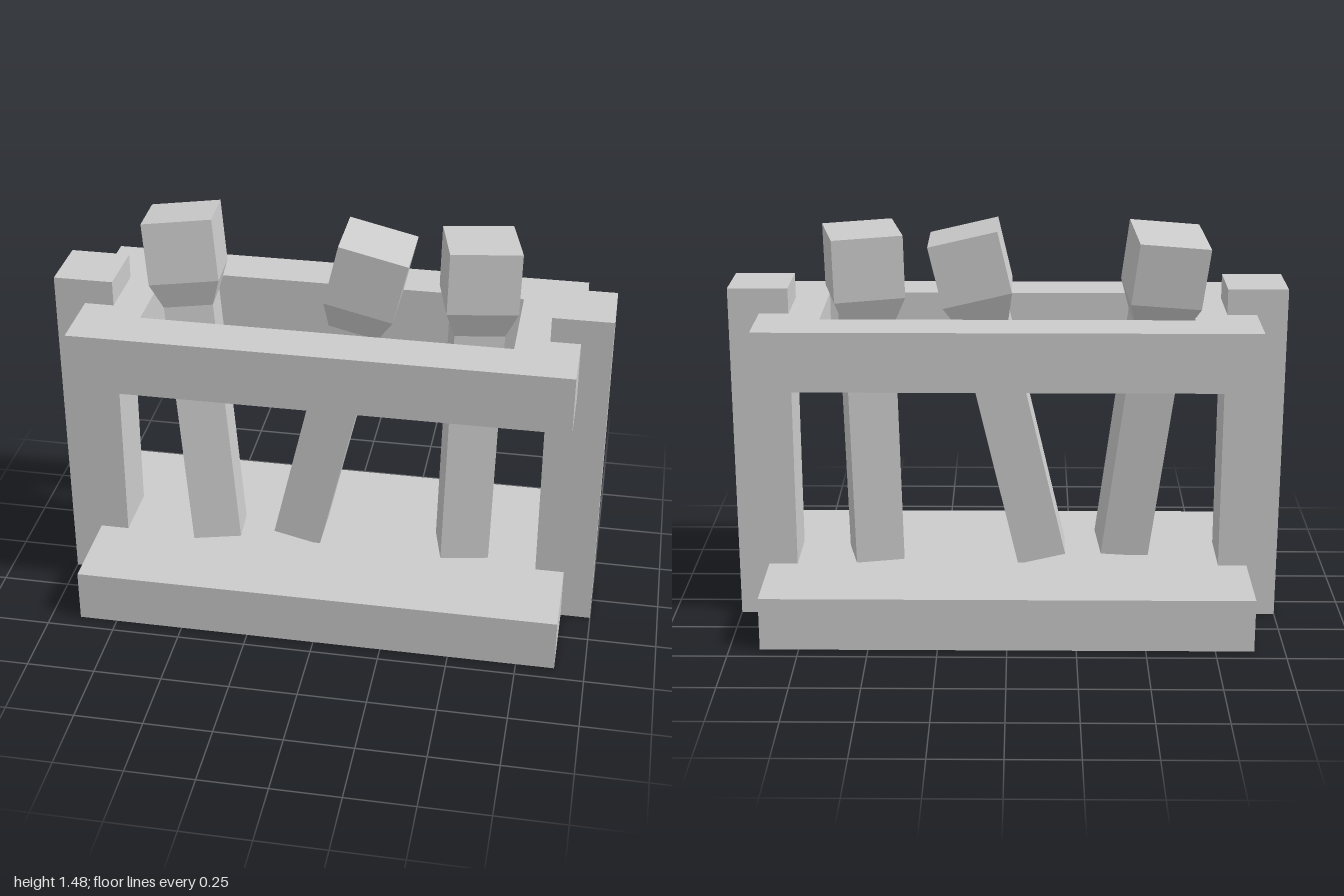
import * as THREE from 'three';

const material = new THREE.MeshStandardMaterial({ color: 0xcccccc, flatShading: true, side: THREE.DoubleSide });

function add(parent, name, geometry) {
  const mesh = new THREE.Mesh(geometry, material);
  mesh.name = name;
  parent.add(mesh);
  return mesh;
}

// Box standing on y = 0 with its underside left open
function openBox(w, h, d) {
  const g = new THREE.BoxGeometry(w, h, d).translate(0, h / 2, 0);
  const index = Array.from(g.index.array);
  index.splice(18, 6); // the -y face
  g.setIndex(index);
  g.clearGroups();
  return g;
}

// Square handle flaring into a thicker square head, grown along +y from its foot
function malletGeometry(length) {
  const rings = [[0, 0.09], [0.93, 0.09], [1.03, 0.127], [length, 0.127]];
  const g = new THREE.BoxGeometry(2, 3, 2, 1, 3, 1);
  const p = g.attributes.position;
  for (let i = 0; i < p.count; i++) {
    const [y, half] = rings[Math.round(p.getY(i) + 1.5)];
    p.setXYZ(i, p.getX(i) * half, y, p.getZ(i) * half);
  }
  g.computeVertexNormals();
  return g;
}

// Mallet leaning from foot to top, with its width along the given side direction
function addMallet(parent, name, foot, top, side) {
  const a = new THREE.Vector3(...foot);
  const y = new THREE.Vector3(...top).sub(a);
  const mesh = add(parent, name, malletGeometry(y.length()));
  y.normalize();
  const z = new THREE.Vector3(...side).cross(y).normalize();
  const x = new THREE.Vector3().crossVectors(y, z);
  mesh.quaternion.setFromRotationMatrix(new THREE.Matrix4().makeBasis(x, y, z));
  mesh.position.copy(a);
}

function rectangle(target, x, z) {
  target.moveTo(-x, -z);
  target.lineTo(x, -z);
  target.lineTo(x, z);
  target.lineTo(-x, z);
  target.closePath();
  return target;
}

export function createModel() {
  const group = new THREE.Group();
  group.name = 'malletRack';

  // Base slab and the two end posts
  add(group, 'base', openBox(1.78, 0.197, 0.885));
  for (const [name, s] of [['leftPost', 1], ['rightPost', -1]]) {
    add(group, name, openBox(0.216, 1.256, 0.23)).position.x = s * 0.892;
  }

  // Upper frame with a rectangular opening
  const outline = rectangle(new THREE.Shape(), 0.89, 0.366);
  outline.holes.push(rectangle(new THREE.Path(), 0.665, 0.19));
  const frame = new THREE.ExtrudeGeometry(outline, { depth: 0.216, bevelEnabled: false });
  frame.rotateX(-Math.PI / 2);
  add(group, 'upperFrame', frame).position.y = 0.947;

  // Three mallets resting in the rack
  addMallet(group, 'rightMallet', [-0.43, 0.213, 0.065], [-0.575, 1.452, -0.097], [0.25, 0, -0.025]);
  addMallet(group, 'middleMallet', [-0.127, 0.212, -0.004], [0.16, 1.438, -0.004], [1, 0, 0]);
  addMallet(group, 'leftMallet', [0.495, 0.198, 0.005], [0.52, 1.455, -0.043], [0.255, 0, -0.057]);

  return group;
}
